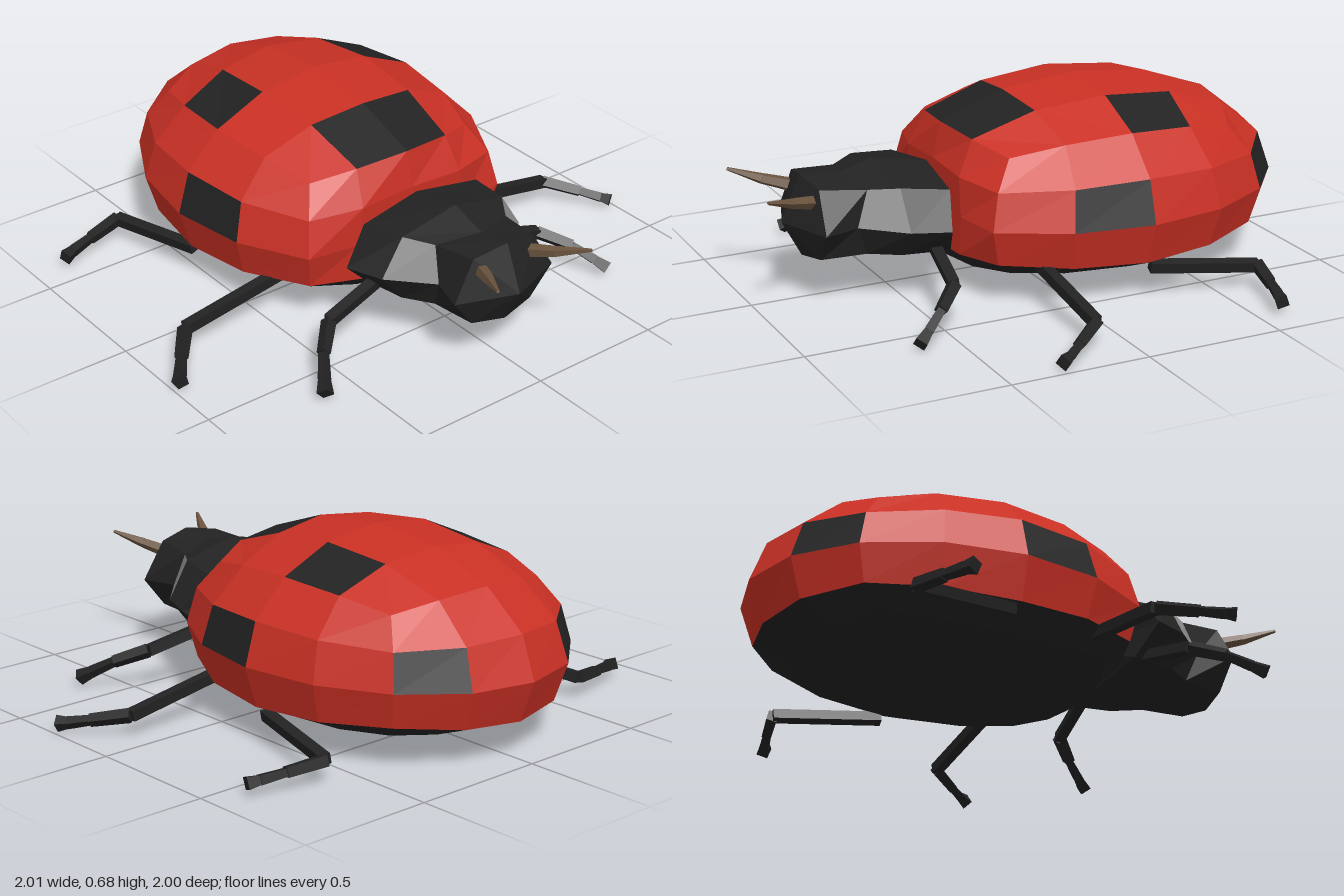
import * as THREE from 'three';

const mat = (name, color) => {
  const m = new THREE.MeshStandardMaterial({ color });
  m.name = name;
  return m;
};

// Faceted mesh from a list of triangle corners
function facets(name, corners, material) {
  const g = new THREE.BufferGeometry();
  g.setAttribute('position', new THREE.Float32BufferAttribute(corners.flatMap(v => [v.x, v.y, v.z]), 3));
  g.computeVertexNormals();
  const mesh = new THREE.Mesh(g, material);
  mesh.name = name;
  return mesh;
}

// Maps a point of a 4x4x4 cube onto the domed body
function domePoint(p) {
  const a = p.toArray();
  const ones = a.filter(v => Math.abs(v) > 0.99).length;
  const inner = ones === 2 ? 0.49 : Math.tan(Math.PI / 8);
  const v = new THREE.Vector3(...a.map(c => (Math.abs(c) > 0.99 ? c : c * 2 * inner))).normalize();
  let y = 0.285 + v.y * 0.395;
  if (y < 0.13) y = 0.13 - (0.13 - y) * 0.42; // flattened belly
  const z = Math.min(-0.25 + v.z * 0.75, 0.31 - 0.13 * Math.max(0, 0.13 - y)); // flat front
  return new THREE.Vector3(v.x * 0.6, y, z);
}

// Which part a cell of the cube belongs to, from its centre
function cellPart(c) {
  const x = Math.abs(c.x);
  if (c.y < -0.5) return 'belly';
  const top = c.y > 0.99, side = x > 0.99, back = c.z < -0.99;
  if (top && x < 0.5 && c.z > 0.5) return 'spots';
  if (top && x > 0.5 && c.z < 0 && c.z > -0.5) return 'spots';
  if (side && c.y > 0 && c.y < 0.5 && c.z > 0 && c.z < 0.5) return 'spots';
  if (back && c.y > 0 && c.y < 0.5 && x > 0.5) return 'spots';
  return 'shell';
}

function addBody(group, mats) {
  const pos = new THREE.BoxGeometry(2, 2, 2, 4, 4, 4).toNonIndexed().attributes.position;
  const parts = { shell: [], belly: [], spots: [] };
  for (let i = 0; i < pos.count; i += 3) {
    const tri = [0, 1, 2].map(k => new THREE.Vector3().fromBufferAttribute(pos, i + k));
    const centre = tri[0].clone().add(tri[1]).add(tri[2]).divideScalar(3);
    parts[cellPart(centre)].push(...tri.map(domePoint));
  }
  for (const name in parts) group.add(facets(name, parts[name], mats[name]));
}

// Thorax and head: rings lofted from back to front
function addHead(group, dark, pale) {
  // each row: top, upper side, side, lower side, bottom
  const rows = [
    [[0, 0.43, 0.335], [0.25, 0.4, 0.36], [0.355, 0.285, 0.4], [0.25, 0.18, 0.36], [0, 0.14, 0.335]],
    [[0, 0.47, 0.54], [0.22, 0.42, 0.53], [0.305, 0.285, 0.53], [0.22, 0.18, 0.53], [0, 0.145, 0.5]],
    [[0, 0.43, 0.68], [0.155, 0.41, 0.625], [0.175, 0.285, 0.67], [0.155, 0.18, 0.63], [0, 0.155, 0.68]],
    [[0, 0.45, 0.81], [0.13, 0.425, 0.79], [0.215, 0.285, 0.8], [0.13, 0.175, 0.79], [0, 0.155, 0.81]],
  ].map(r => [...r, ...[3, 2, 1].map(i => [-r[i][0], r[i][1], r[i][2]])].map(p => new THREE.Vector3(...p)));
  const tail = new THREE.Vector3(0, 0.285, 0.3);
  const nose = new THREE.Vector3(0, 0.285, 0.88);
  const thorax = [], head = [], cheeks = [];
  for (let j = 0; j < 8; j++) {
    const k = (j + 1) % 8;
    thorax.push(tail, rows[0][j], rows[0][k]);
    head.push(nose, rows[3][k], rows[3][j]);
    for (let i = 0; i < 3; i++) {
      const [a, b, c, d] = [rows[i][j], rows[i][k], rows[i + 1][k], rows[i + 1][j]];
      const isCheek = i === 1 && (j === 1 || j === 6);
      (isCheek ? cheeks : i < 2 ? thorax : head).push(a, d, c, a, c, b);
    }
  }
  group.add(facets('thorax', thorax, dark), facets('head', head, dark), facets('cheekPatches', cheeks, pale));
}

// Chain of tapered segments; each has a start and end radius
function limb(name, points, radii, sides, material, side) {
  const limbGroup = new THREE.Group();
  limbGroup.name = name;
  const pts = points.map(p => new THREE.Vector3(p[0] * side, p[1], p[2]));
  radii.forEach(([r0, r1], i) => {
    const dir = pts[i + 1].clone().sub(pts[i]);
    let g = new THREE.CylinderGeometry(r1, r0, dir.length(), sides, 1);
    g.rotateY(Math.PI / 4);
    g = g.toNonIndexed();
    g.computeVertexNormals();
    const seg = new THREE.Mesh(g, material);
    seg.name = name + 'Segment';
    seg.position.copy(pts[i]).add(pts[i + 1]).multiplyScalar(0.5);
    seg.quaternion.setFromUnitVectors(new THREE.Vector3(0, 1, 0), dir.normalize());
    limbGroup.add(seg);
  });
  return limbGroup;
}

export function createModel() {
  const model = new THREE.Group();
  model.name = 'ladybird';
  const red = mat('shellRed', 0xc93024);
  const black = mat('bodyBlack', 0x222222);
  const grey = mat('cheekGrey', 0x8c8c8c);
  const brown = mat('antennaBrown', 0x6b543f);

  addBody(model, { shell: red, belly: black, spots: black });
  addHead(model, black, grey);

  // Legs: thigh, shin, ankle, foot
  const legs = {
    frontLeg: [[0.22, 0.2, 0.41], [0.47, 0.145, 0.45], [0.56, 0.1, 0.54], [0.61, 0.055, 0.61], [0.637, 0.03, 0.65]],
    middleLeg: [[0.28, 0.165, 0.1], [0.82, 0.075, 0.1], [0.91, 0.05, 0.21], [0.96, 0.035, 0.275], [0.98, 0.03, 0.305]],
    rearLeg: [[0.53, 0.11, -0.27], [0.61, 0.075, -0.66], [0.75, 0.06, -0.625], [0.84, 0.05, -0.6], [0.882, 0.045, -0.585]],
  };
  const legRadii = [[0.027, 0.027], [0.027, 0.024], [0.019, 0.023], [0.022, 0.03]];
  const antenna = [[0.09, 0.37, 0.77], [0.145, 0.4, 0.89], [0.205, 0.435, 0.998]];
  for (const side of [1, -1]) {
    const prefix = side > 0 ? 'left ' : 'right ';
    for (const name in legs) model.add(limb(prefix + name, legs[name], legRadii, 4, black, side));
    model.add(limb(prefix + 'antenna', antenna, [[0.027, 0.02], [0.02, 0.006]], 5, brown, side));
  }
  return model;
}
